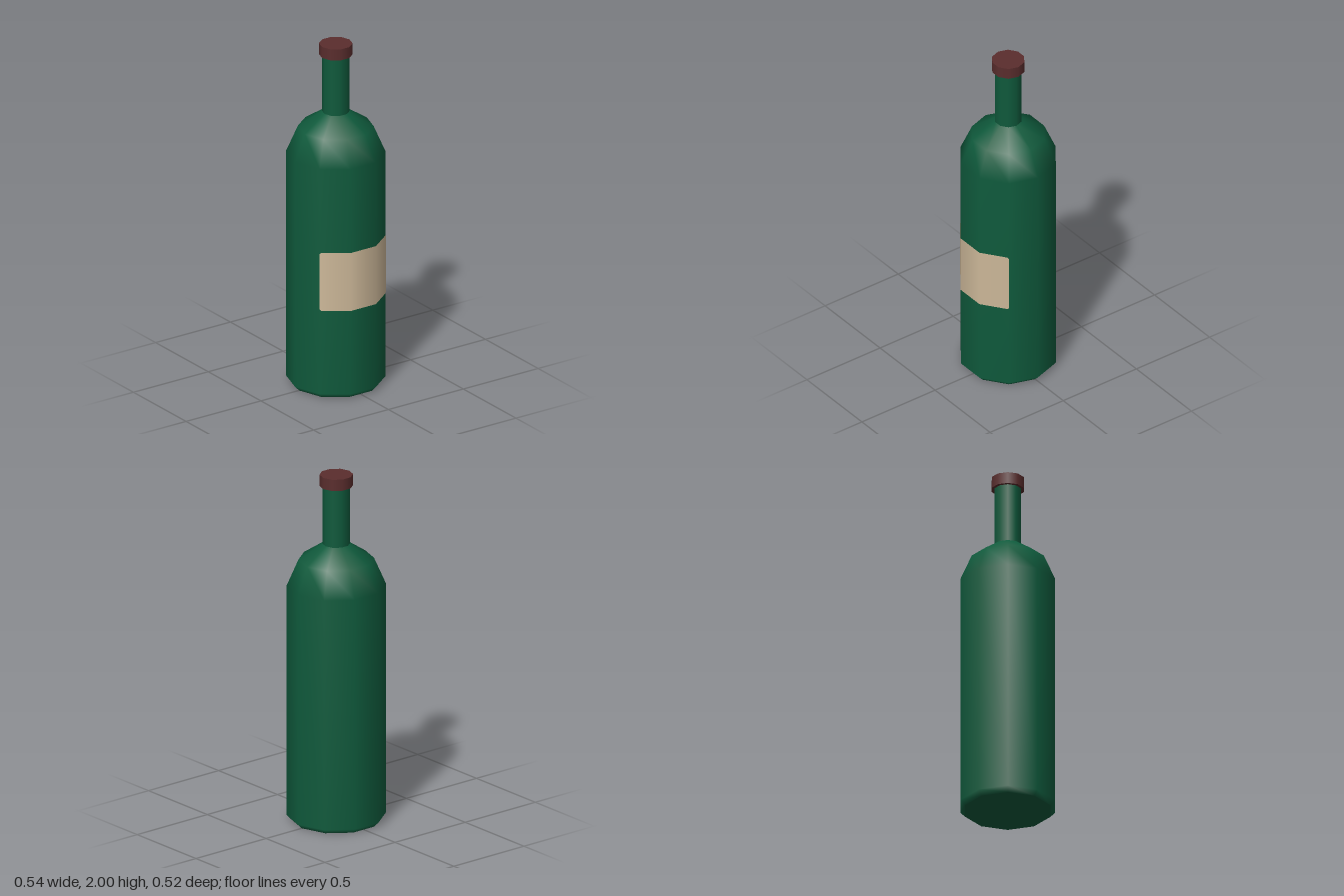
import * as THREE from 'three';

const SIDES = 10;

// Ten-sided turned surface with a corner on the x axis
function turned(points) {
  return new THREE.LatheGeometry(points.map(([r, y]) => new THREE.Vector2(r, y)), SIDES, Math.PI / 2);
}

// Curved label wrapped over the three front facets, with clipped corners
function labelGeometry(radius, low, high) {
  const corner = (deg) => {
    const a = THREE.MathUtils.degToRad(deg);
    return new THREE.Vector3(Math.sin(a) * radius, 0, Math.cos(a) * radius);
  };
  const c = [-54, -18, 18, 54].map(corner);
  const columns = [
    [c[0], 0.008], [c[0].clone().lerp(c[1], 0.06), 0], [c[1], 0],
    [c[2], 0], [c[3].clone().lerp(c[2], 0.06), 0], [c[3], 0.008],
  ];
  const positions = [], normals = [], index = [];
  columns.forEach(([p, cut], i) => {
    const n = p.clone().normalize();
    positions.push(p.x, low + cut, p.z, p.x, high - cut, p.z);
    normals.push(n.x, 0, n.z, n.x, 0, n.z);
    if (i > 0) {
      const k = 2 * i;
      index.push(k - 2, k, k - 1, k, k + 1, k - 1);
    }
  });
  const geometry = new THREE.BufferGeometry();
  geometry.setAttribute('position', new THREE.Float32BufferAttribute(positions, 3));
  geometry.setAttribute('normal', new THREE.Float32BufferAttribute(normals, 3));
  geometry.setIndex(index);
  return geometry;
}

export function createModel() {
  const material = (name, color) => {
    const m = new THREE.MeshStandardMaterial({ color });
    m.name = name;
    return m;
  };
  const glass = material('greenGlass', 0x0f5a3c);
  const foil = material('darkRedFoil', 0x5a2d2d);
  const paper = material('tanPaper', 0xcdb899);

  const bottle = new THREE.Group();
  bottle.name = 'bottle';
  const add = (name, geometry, mat) => {
    const mesh = new THREE.Mesh(geometry, mat);
    mesh.name = name;
    bottle.add(mesh);
    return mesh;
  };

  // Glass: body with shoulder, flat base, neck
  add('body', turned([[0.245, 0], [0.272, 0.028], [0.272, 1.36], [0.207, 1.51], [0.073, 1.6]]), glass);
  const base = add('base', new THREE.CircleGeometry(0.245, SIDES), glass);
  base.rotation.x = Math.PI / 2;
  add('neck', turned([[0.075, 1.595], [0.075, 1.945]]), glass);

  // Cap: side wall, top disc and underside
  add('capSide', turned([[0.092, 1.935], [0.092, 2]]), foil);
  const top = add('capTop', new THREE.CircleGeometry(0.092, SIDES), foil);
  top.rotation.x = -Math.PI / 2;
  top.position.y = 2;
  const underside = add('capUnderside', new THREE.CircleGeometry(0.092, SIDES), foil);
  underside.rotation.x = Math.PI / 2;
  underside.position.y = 1.935;

  add('label', labelGeometry(0.2745, 0.522, 0.866), paper);

  return bottle;
}
